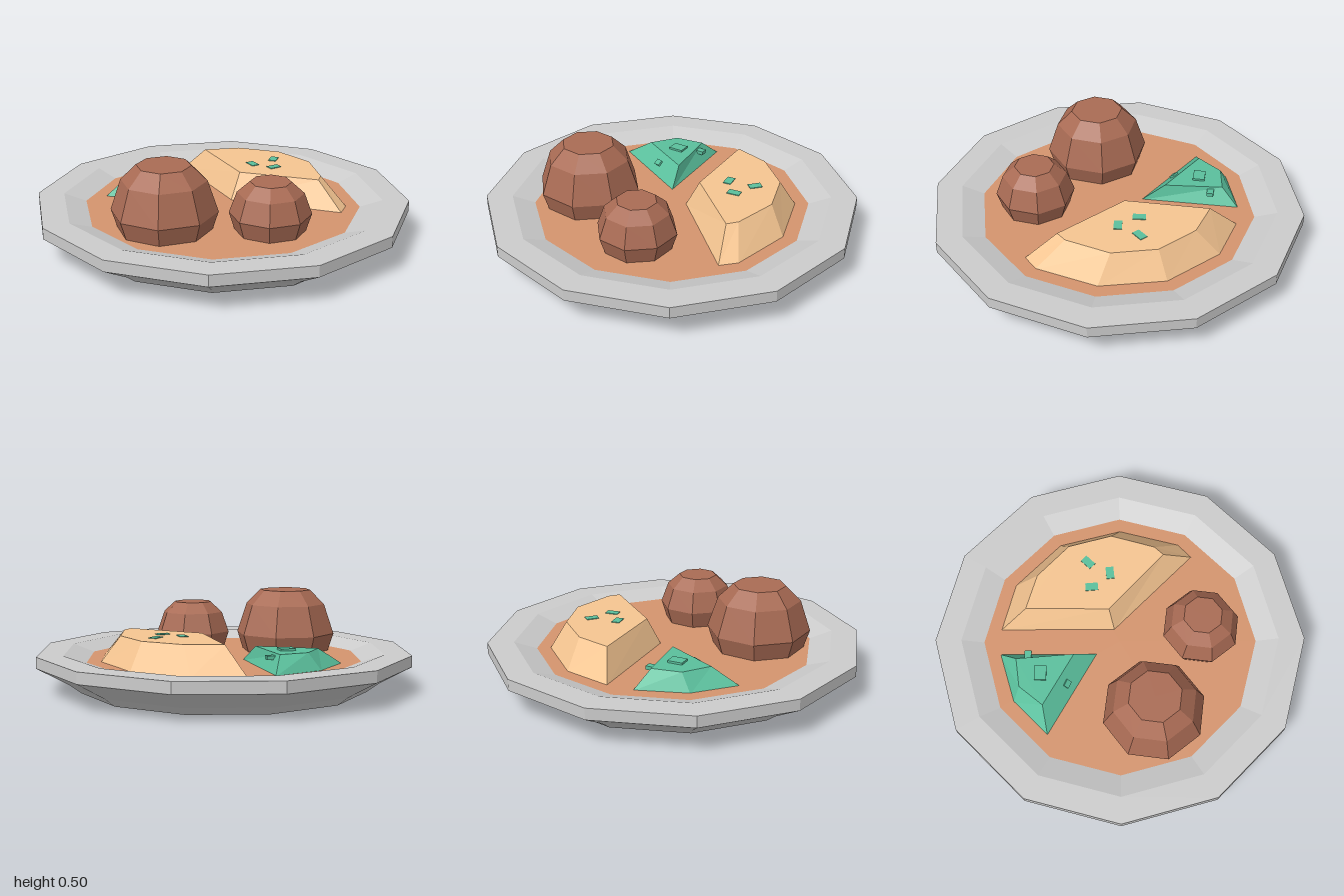
import * as THREE from 'three';

const mat = (color) => new THREE.MeshStandardMaterial({ color, flatShading: true });
const FLOOR = 0.16;

function add(parent, name, geometry, material) {
  const mesh = new THREE.Mesh(geometry, material);
  mesh.name = name;
  parent.add(mesh);
  return mesh;
}

// Faceted solid of revolution from [radius, y] pairs, listed bottom to top
const lathe = (profile, sides) =>
  new THREE.LatheGeometry(profile.map(([r, y]) => new THREE.Vector2(r, y)), sides);

// Mound with a flat top: outlines are [x, z], counter-clockwise seen from above
function mound(base, top, y0, y1) {
  const n = base.length;
  const positions = [...base.map(([x, z]) => [x, y0, z]), ...top.map(([x, z]) => [x, y1, z])].flat();
  const index = [];
  for (let i = 0; i < n; i++) {
    const j = (i + 1) % n;
    index.push(i, j, n + j, i, n + j, n + i);
    if (i > 0 && i < n - 1) index.push(n, n + i, n + i + 1, 0, i + 1, i);
  }
  const g = new THREE.BufferGeometry();
  g.setAttribute('position', new THREE.Float32BufferAttribute(positions, 3));
  g.setIndex(index);
  const flat = g.toNonIndexed();
  flat.computeVertexNormals();
  return flat;
}

export function createModel() {
  const group = new THREE.Group();
  group.name = 'plateOfFood';
  const brown = mat(0xa96b54), green = mat(0x5abf9c), cream = mat(0xf5c591);

  // Plate with a flat rim and a shallow well
  add(group, 'plate', lathe([
    [0, 0], [0.77, 0], [0.83, 0.045], [1, 0.14], [1, 0.2],
    [0.86, 0.2], [0.72, 0.153], [0, 0.15],
  ], 12), mat(0xcccccc));

  // Sauce filling the well
  add(group, 'sauce', lathe([[0.74, FLOOR], [0, FLOOR]], 12), mat(0xd4946e));

  // Two meatballs with flattened tops
  const balls = [
    ['largeMeatball', -0.27, 0.357, [[0, 0.1], [0.235, 0.13], [0.275, 0.255], [0.22, 0.418], [0.14, 0.497], [0, 0.497]]],
    ['smallMeatball', 0.265, 0.35, [[0, 0.1], [0.175, 0.14], [0.21, 0.25], [0.17, 0.36], [0.105, 0.418], [0, 0.418]]],
  ];
  for (const [name, x, z, profile] of balls) {
    add(group, name, lathe(profile, 8), brown).position.set(x, 0, z);
  }

  // Mashed potato mound
  add(group, 'mash', mound(
    [[-0.265, -0.6], [0.045, -0.06], [0.64, 0.1], [0.67, 0], [0.58, -0.33], [0.335, -0.58], [0, -0.67]],
    [[-0.13, -0.51], [0.09, -0.12], [0.515, -0.02], [0.53, -0.085], [0.47, -0.325], [0.3, -0.495], [0.065, -0.555]],
    FLOOR - 0.005, 0.3), cream);

  // Herb flakes on the mash
  for (const [x, z, angle] of [[0.155, -0.265, 0.6], [0.27, -0.355, -0.25], [0.275, -0.22, -0.95]]) {
    const herb = add(group, 'herbFlake', new THREE.BoxGeometry(0.043, 0.006, 0.068), green);
    herb.position.set(x, 0.301, z);
    herb.rotation.y = angle;
  }

  // Wedge of greens
  add(group, 'greens', mound(
    [[-0.385, -0.53], [-0.58, -0.325], [-0.65, -0.07], [-0.12, -0.07]],
    [[-0.385, -0.42], [-0.51, -0.325], [-0.535, -0.165], [-0.21, -0.165]],
    FLOOR - 0.005, 0.247), green);

  // Small lumps on the greens
  const lumps = [
    [-0.39, 0.248, -0.265, 0.08, 0.5, 0],
    [-0.33, 0.225, -0.38, 0.045, 0.5, 0],
    [-0.36, 0.205, -0.12, 0.04, 0.1, 0.7],
  ];
  for (const [x, y, z, size, turn, tilt] of lumps) {
    const lump = add(group, 'greensLump', new THREE.BoxGeometry(size, 0.02, size * 0.8), green);
    lump.position.set(x, y, z);
    lump.rotation.set(tilt, turn, 0);
  }
  return group;
}
